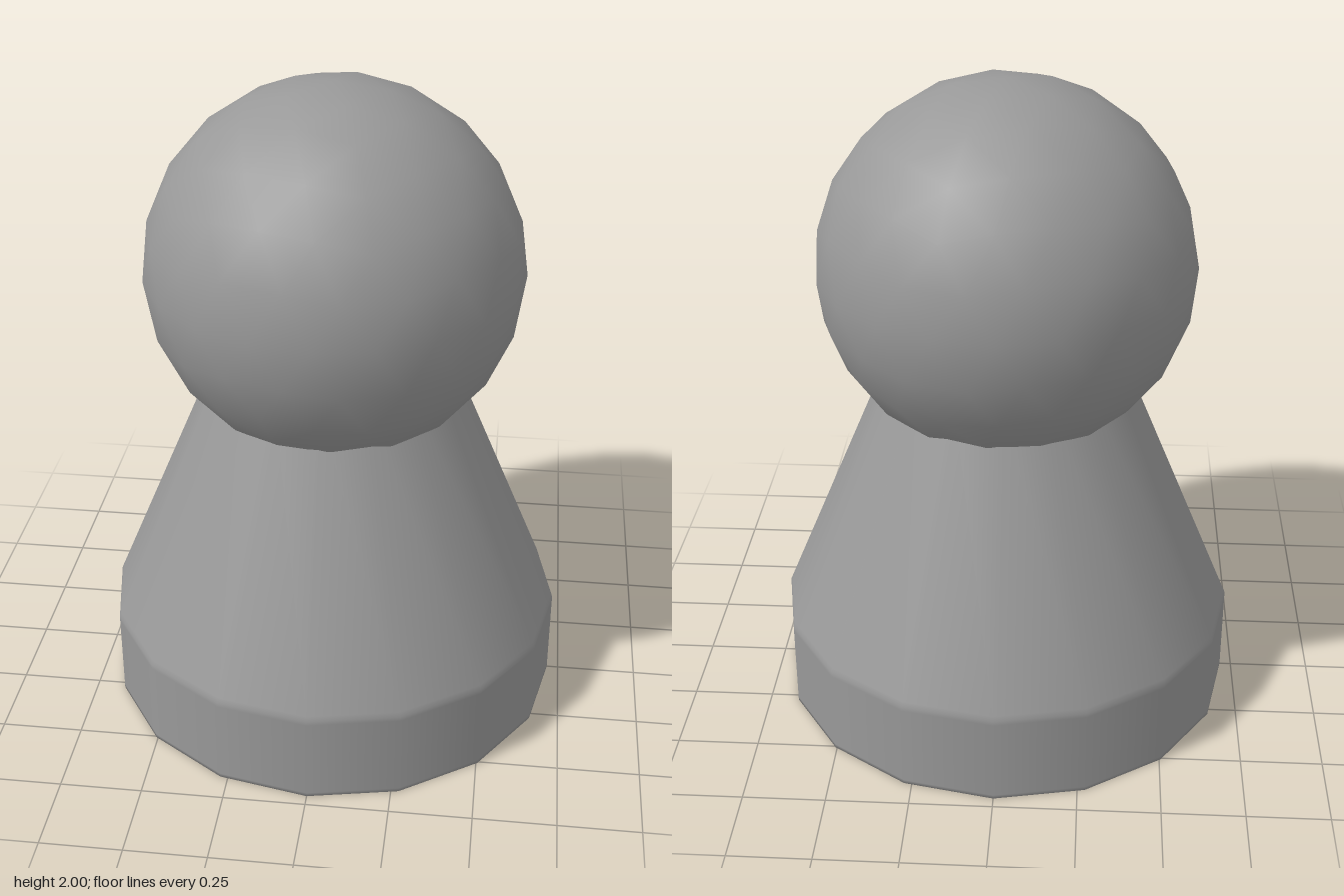
import * as THREE from 'three';

const HEAD_RADIUS = 0.571;

// Splits every triangle in four and pushes the new corners onto the unit sphere
function splitOnSphere(geometry) {
  const pos = geometry.attributes.position;
  const points = [];
  const corner = (i) => new THREE.Vector3().fromBufferAttribute(pos, i).normalize();
  const middle = (p, q) => p.clone().add(q).normalize();
  for (let i = 0; i < pos.count; i += 3) {
    const a = corner(i), b = corner(i + 1), c = corner(i + 2);
    const ab = middle(a, b), bc = middle(b, c), ca = middle(c, a);
    points.push(a, ab, ca, ab, b, bc, ca, bc, c, ab, bc, ca);
  }
  return new THREE.BufferGeometry().setFromPoints(points);
}

// Icosphere with a corner at the top and an upper-ring corner towards +x
function icosphere(radius, splits) {
  let geometry = new THREE.IcosahedronGeometry(1, 0);
  for (let i = 0; i < splits; i++) geometry = splitOnSphere(geometry);
  geometry.rotateX(-Math.atan((1 + Math.sqrt(5)) / 2));
  geometry.rotateY(Math.PI / 2);
  // Smooth normals point straight out from the centre
  geometry.setAttribute('normal', geometry.attributes.position.clone());
  geometry.normalizeNormals();
  const scaled = geometry.attributes.position;
  for (let i = 0; i < scaled.count; i++) {
    scaled.setXYZ(i, scaled.getX(i) * radius, scaled.getY(i) * radius, scaled.getZ(i) * radius);
  }
  return geometry;
}

export function createModel() {
  const model = new THREE.Group();
  model.name = 'pawn';
  const material = new THREE.MeshStandardMaterial({ color: 0x999999 });

  // Foot and tapered body in one profile; close rings keep the edges only slightly soft,
  // and the open top is hidden inside the head
  const profile = [
    [0, 0], [0.704, 0], [0.714, 0], [0.714, 0.012],
    [0.714, 0.272], [0.714, 0.286], [0.708, 0.3], [0.354, 1.143],
  ].map(([r, y]) => new THREE.Vector2(r, y));
  const body = new THREE.Mesh(new THREE.LatheGeometry(profile, 16), material);
  body.name = 'body';

  // Ball head
  const head = new THREE.Mesh(icosphere(HEAD_RADIUS, 2), material);
  head.name = 'head';
  head.position.y = 2 - HEAD_RADIUS;

  model.add(body, head);
  return model;
}
